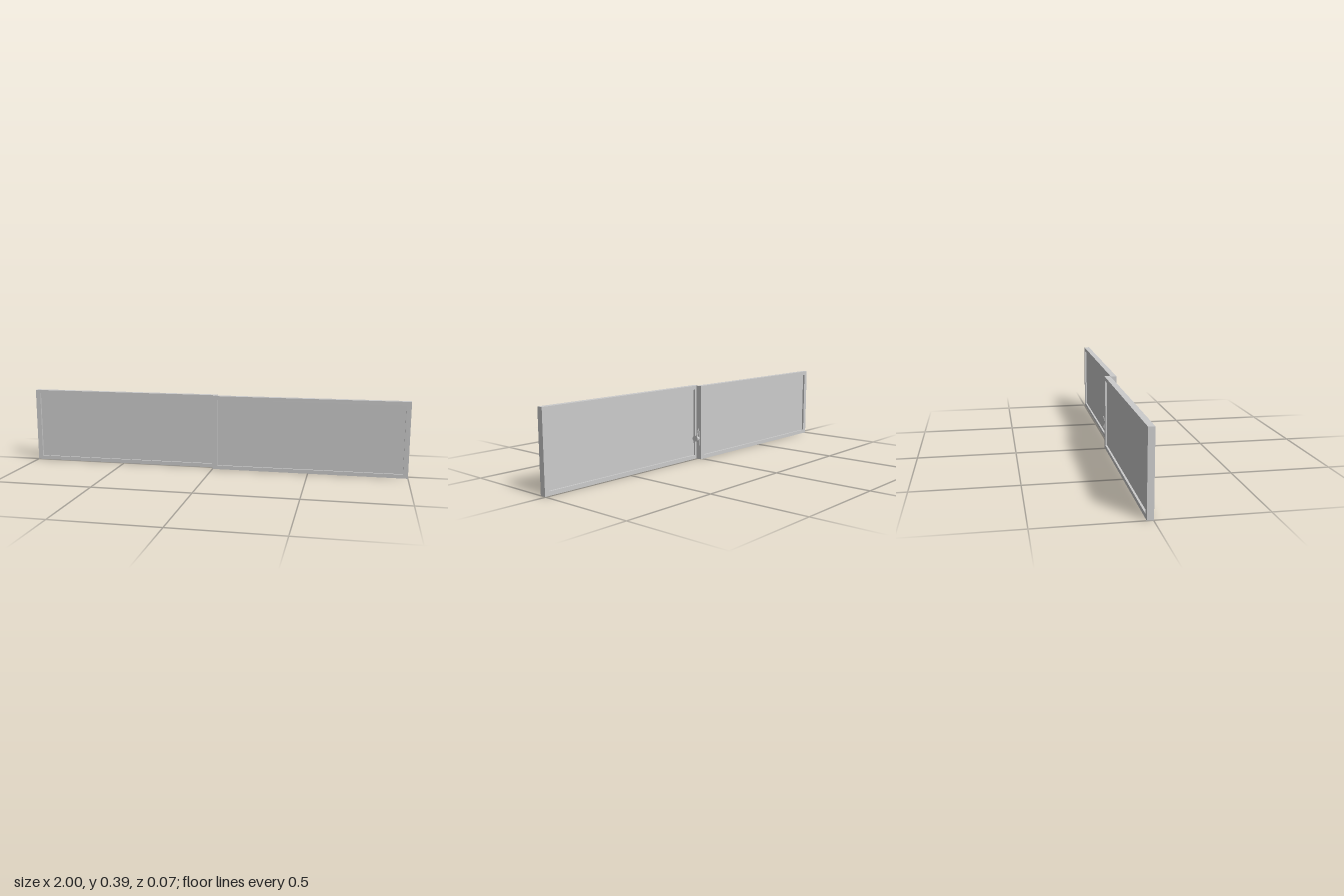
import * as THREE from 'three';

const material = new THREE.MeshStandardMaterial({ color: 0xcccccc, flatShading: true });
const HEIGHT = 0.389, DEPTH = 0.03, BORDER = 0.025;

function add(parent, name, geometry, x = 0, y = 0, z = 0) {
  const mesh = new THREE.Mesh(geometry, material);
  mesh.name = name;
  mesh.position.set(x, y, z);
  parent.add(mesh);
  return mesh;
}

function rectangle(PathType, x0, y0, x1, y1) {
  return new PathType([[x0, y0], [x1, y0], [x1, y1], [x0, y1]].map(p => new THREE.Vector2(...p)));
}

// Framed sash with a pane recessed on both faces
function createSash(name, x0, x1, z) {
  const sash = new THREE.Group();
  sash.name = name;
  const shape = rectangle(THREE.Shape, x0, 0, x1, HEIGHT);
  shape.holes.push(rectangle(THREE.Path, x0 + BORDER, BORDER * 0.8, x1 - BORDER, HEIGHT - BORDER * 0.8));
  const frame = new THREE.ExtrudeGeometry(shape, { depth: DEPTH, bevelEnabled: false });
  frame.translate(0, 0, -DEPTH / 2);
  add(sash, 'frame', frame);
  const pane = new THREE.BoxGeometry(x1 - x0 - 2 * BORDER, HEIGHT - 1.6 * BORDER, 0.01);
  add(sash, 'pane', pane, (x0 + x1) / 2, HEIGHT / 2, 0);
  sash.position.z = z;
  return sash;
}

// Cam latch on the end of the rear sash, facing +x
function createLatch() {
  const latch = new THREE.Group();
  latch.name = 'latch';
  add(latch, 'mountingPlate', new THREE.BoxGeometry(0.004, 0.077, 0.021), 0.002);
  const hub = add(latch, 'hub', new THREE.CylinderGeometry(0.009, 0.009, 0.016, 16), 0.012);
  hub.rotation.z = Math.PI / 2;

  // Round cam with a flattened lower edge
  const cam = new THREE.Shape();
  cam.absarc(0, 0, 0.0175, -0.9, Math.PI + 0.9, false);
  cam.closePath();
  const camGeometry = new THREE.ExtrudeGeometry(cam, { depth: 0.01, bevelEnabled: false, curveSegments: 16 });
  camGeometry.rotateY(Math.PI / 2);
  add(latch, 'cam', camGeometry, 0.018, 0, 0);
  add(latch, 'hook', new THREE.BoxGeometry(0.012, 0.018, 0.007), 0.02, 0, 0.015);

  // Handle leaning backwards as it rises
  const lever = add(latch, 'lever', new THREE.BoxGeometry(0.01, 0.044, 0.004), 0.023, 0.033, -0.0125);
  lever.rotation.x = -0.2;
  latch.position.set(0.016, 0.112, -0.0125);
  return latch;
}

export function createModel() {
  const model = new THREE.Group();
  model.name = 'slidingWindow';
  model.add(createSash('frontSash', 0, 1, 0.019));
  model.add(createSash('rearSash', -1, 0.016, -0.013));
  model.add(createLatch());
  return model;
}
